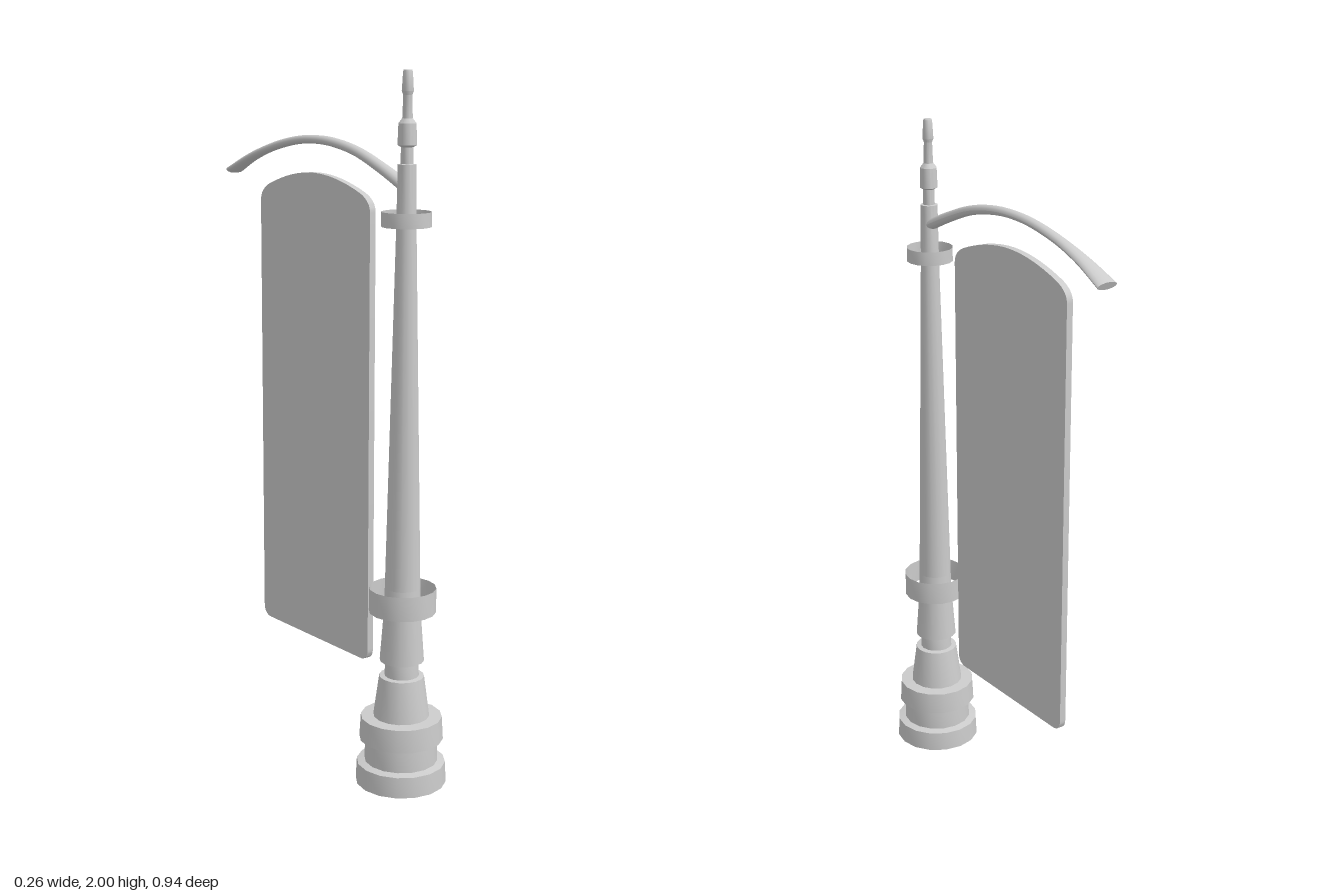
import * as THREE from 'three';
import { toCreasedNormals } from 'three/addons/utils/BufferGeometryUtils.js';

const POLE_Z = 0.342;
const SIDES = 16;

export function createModel() {
  const model = new THREE.Group();
  model.name = 'streetLamp';
  const grey = new THREE.MeshStandardMaterial({ color: 0xcccccc, side: THREE.DoubleSide });

  const add = (name, geometry, z = 0) => {
    const mesh = new THREE.Mesh(geometry, grey);
    mesh.name = name;
    mesh.position.z = z;
    model.add(mesh);
    return mesh;
  };
  // Turned part from [radius, height] pairs, with sharp steps
  const turned = (name, profile) => {
    const points = profile.map(([r, y]) => new THREE.Vector2(r, y));
    add(name, toCreasedNormals(new THREE.LatheGeometry(points, SIDES), 0.5), POLE_Z);
  };

  // Stepped base, open underneath
  turned('base', [
    [0.13, 0], [0.127, 0.06], [0.105, 0.065], [0.103, 0.13],
    [0.12, 0.131], [0.116, 0.197], [0.08, 0.199], [0.064, 0.318],
    [0.049, 0.32], [0.047, 0.363], [0.063, 0.365], [0.052, 0.51], [0.05, 0.58],
  ]);

  // Tapering shaft
  turned('shaft', [[0.05, 0.58], [0.027, 1.6], [0.025, 1.755], [0.017, 1.756]]);

  // Finial
  turned('finial', [
    [0.017, 1.755], [0.017, 1.8], [0.026, 1.805], [0.024, 1.862],
    [0.014, 1.875], [0.012, 1.935], [0.016, 1.945], [0.013, 1.995], [0.011, 2], [0, 2],
  ]);

  // Open ring collars
  turned('lowerCollar', [[0.095, 0.51], [0.095, 0.58]]);
  turned('upperCollar', [[0.068, 1.59], [0.068, 1.63]]);

  // Arched arm, flattening and widening toward its tip
  const arc = new THREE.CatmullRomCurve3([
    [1.697, 0.335], [1.738, 0.24], [1.778, 0.13], [1.799, 0.02], [1.803, -0.06],
    [1.798, -0.14], [1.777, -0.25], [1.741, -0.365], [1.697, -0.464],
  ].map(([y, z]) => new THREE.Vector3(0, y, z)));
  const segments = 32, around = 14;
  const widths = [0.021, 0.018, 0.0165, 0.016, 0.0155, 0.015, 0.017, 0.023, 0.032];
  const depths = [0.016, 0.015, 0.014, 0.013, 0.012, 0.012, 0.012, 0.012, 0.012];
  const sample = (list, t) => {
    const f = t * (list.length - 1), i = Math.min(Math.floor(f), list.length - 2);
    return THREE.MathUtils.lerp(list[i], list[i + 1], f - i);
  };
  const arm = new THREE.TubeGeometry(arc, segments, 1, around);
  const pos = arm.attributes.position;
  for (let i = 0; i < pos.count; i++) {
    const t = Math.floor(i / (around + 1)) / segments;
    const c = arc.getPointAt(t), d = sample(depths, t);
    pos.setXYZ(i, pos.getX(i) * sample(widths, t),
      c.y + (pos.getY(i) - c.y) * d, c.z + (pos.getZ(i) - c.z) * d);
  }
  arm.computeVertexNormals();
  add('lampArm', arm);

  // Cap closing the arm tip
  const cap = add('armTip', new THREE.CircleGeometry(1, around));
  const tip = arc.getPointAt(1);
  cap.position.copy(tip);
  cap.scale.set(0.032, 0.012, 1);
  cap.lookAt(tip.clone().add(arc.getTangentAt(1)));

  // Hanging banner: rounded bottom corners, arched top (shape x becomes -z)
  const a = -0.2, b = 0.315, low = 0.318, r = 0.035;
  const mid = (a + b) / 2;
  const shape = new THREE.Shape();
  shape.moveTo(a + r, low);
  shape.lineTo(b - r, low);
  shape.quadraticCurveTo(b, low, b, low + r);
  shape.lineTo(b, 1.615);
  shape.quadraticCurveTo(b, 1.648, b - 0.045, 1.667);
  shape.quadraticCurveTo(mid + 0.1, 1.71, mid, 1.71);
  shape.quadraticCurveTo(mid - 0.1, 1.71, a + 0.045, 1.667);
  shape.quadraticCurveTo(a, 1.648, a, 1.615);
  shape.lineTo(a, low + r);
  shape.quadraticCurveTo(a, low, a + r, low);
  const thickness = 0.02;
  const banner = new THREE.ExtrudeGeometry(shape, { depth: thickness, bevelEnabled: false, curveSegments: 8 });
  banner.translate(0, 0, -thickness / 2).rotateY(Math.PI / 2);
  add('banner', toCreasedNormals(banner, 0.6));

  return model;
}
